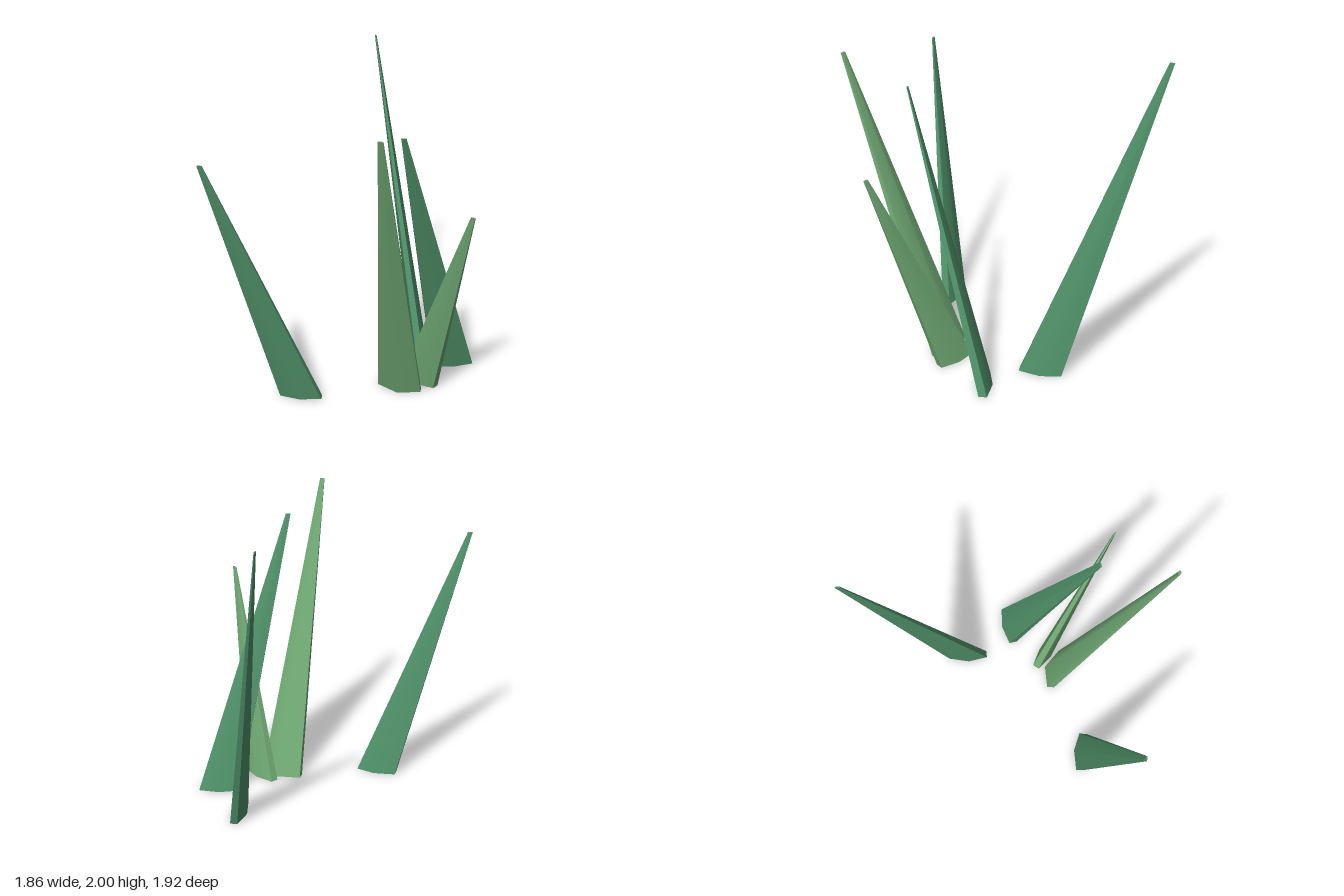
import * as THREE from 'three';
import { toCreasedNormals } from 'three/addons/utils/BufferGeometryUtils.js';

const DARK = 0x4f9068, LIGHT = 0x6fa873;
const TIP_SCALE = 0.115;

// Each blade: half of a point-symmetric six-sided base (x, z), its base centre, and its tip.
const BLADES = [
  { name: 'leftBlade', color: DARK, centre: [-0.30, 0.293], tip: [-0.916, 1.66, 0.378],
    half: [[-0.41, 0.21], [-0.27, 0.25], [-0.17, 0.33]] },
  { name: 'frontBlade', color: LIGHT, centre: [0.345, 0.358], tip: [-0.008, 1.905, 0.95],
    half: [[0.24, 0.246], [0.39, 0.287], [0.47, 0.425]] },
  { name: 'rightBlade', color: DARK, centre: [0.787, 0.16], tip: [0.262, 1.775, 0.57],
    half: [[0.657, 0.114], [0.794, 0.109], [0.926, 0.155]] },
  { name: 'shortBlade', color: LIGHT, centre: [0.49, 0.328], tip: [0.61, 1.34, 0.832],
    half: [[0.434, 0.212], [0.53, 0.30], [0.587, 0.416]] },
  { name: 'backBlade', color: DARK, centre: [0.678, -0.2], tip: [0.58, 2.0, -0.94],
    half: [[0.744, -0.322], [0.728, -0.19], [0.657, -0.065]] },
];

// Tapered, leaning prism from a base ring to a small copy of it at the tip.
function bladeGeometry({ centre: [cx, cz], tip, half }) {
  const ring = half.map(([x, z]) => [x - cx, z - cz]);
  ring.push(...ring.map(([x, z]) => [-x, -z]));
  const n = ring.length;
  const positions = [], index = [];
  for (const [x, z] of ring) positions.push(cx + x, 0, cz + z);
  for (const [x, z] of ring) positions.push(tip[0] + x * TIP_SCALE, tip[1], tip[2] + z * TIP_SCALE);
  for (let i = 0; i < n; i++) {
    const j = (i + 1) % n;
    index.push(i, n + i, j, j, n + i, n + j);
    if (i > 0 && i < n - 1) index.push(0, i, j, n, n + j, n + i); // end caps
  }
  const geometry = new THREE.BufferGeometry();
  geometry.setAttribute('position', new THREE.Float32BufferAttribute(positions, 3));
  geometry.setIndex(index);
  return toCreasedNormals(geometry, THREE.MathUtils.degToRad(50));
}

export function createModel() {
  const group = new THREE.Group();
  group.name = 'grassTuft';
  for (const blade of BLADES) {
    const material = new THREE.MeshStandardMaterial({ color: blade.color });
    const mesh = new THREE.Mesh(bladeGeometry(blade), material);
    mesh.name = blade.name;
    group.add(mesh);
  }
  return group;
}
